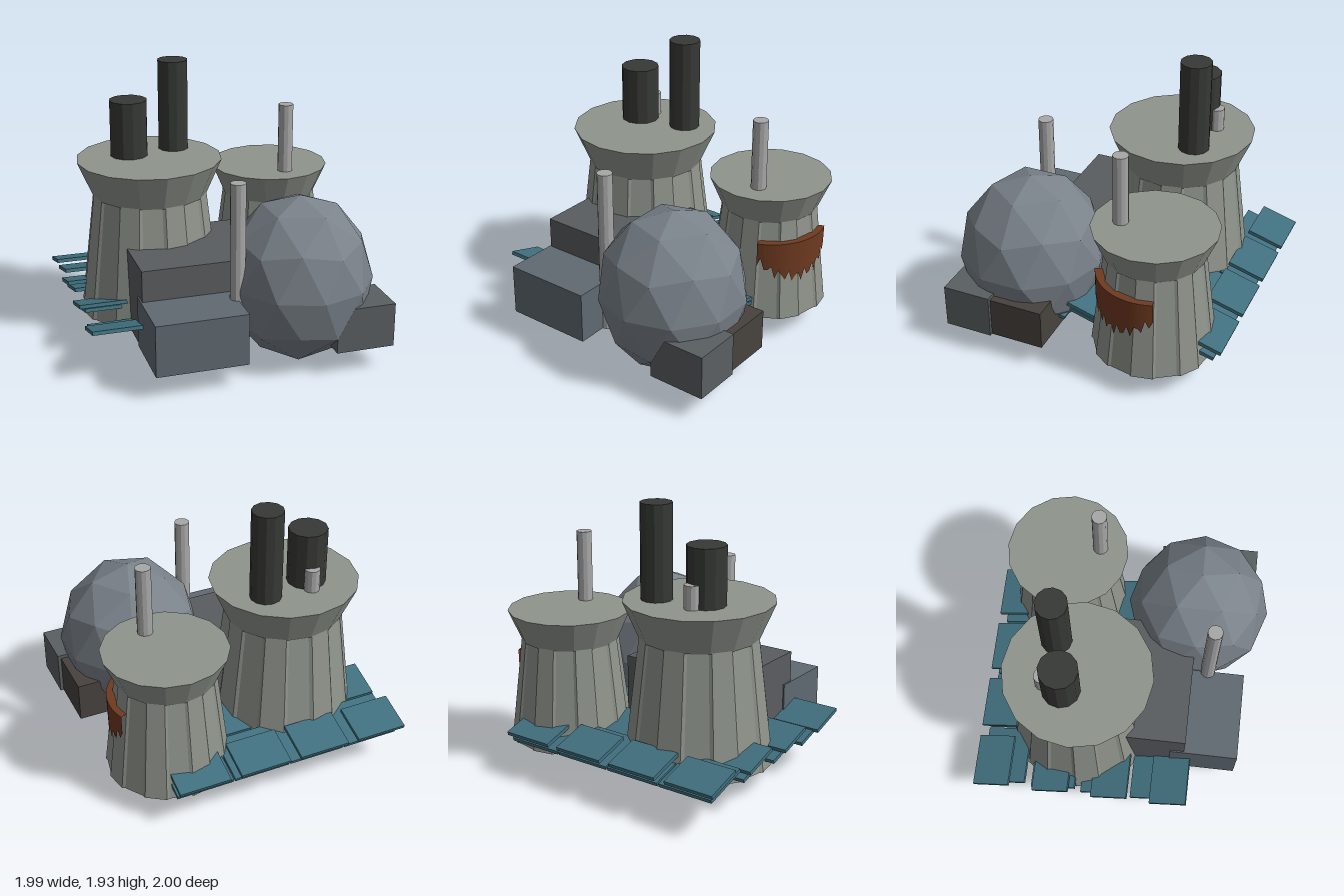
import * as THREE from 'three';

const material = (color, side = THREE.FrontSide) =>
  new THREE.MeshStandardMaterial({ color, side, flatShading: true });

const STONE = material(0x8f948c);
const SOOT = material(0x373936);
const STEEL = material(0xa8a8a8);
const SLATE = material(0x41707f);
const RUST = material(0x6f3a20, THREE.DoubleSide);
const HULL = material(0x7a828a);

const BASE = 0.18;

function add(parent, name, geometry, mat, x = 0, y = 0, z = 0) {
  const mesh = new THREE.Mesh(geometry, mat);
  mesh.name = name;
  mesh.position.set(x, y, z);
  parent.add(mesh);
  return mesh;
}

// Tapered wall made of 16 panels, every second one slightly recessed
function panelledWall(rTop, rBottom, height) {
  const g = new THREE.CylinderGeometry(rTop, rBottom, height, 32);
  const p = g.attributes.position;
  const step = Math.PI / 8;
  for (let i = 0; i < p.count; i++) {
    const r = Math.hypot(p.getX(i), p.getZ(i));
    if (r < 1e-4) continue;
    let a = Math.atan2(p.getX(i), p.getZ(i));
    if (a < -1e-4) a += Math.PI * 2;
    const n = Math.round(a / (step / 2)) % 32;
    const panel = Math.floor(n / 2);
    const angle = (panel + (n % 2 ? 0.94 : 0.06)) * step;
    const radius = r * (panel % 2 ? 0.97 : 1);
    p.setX(i, Math.sin(angle) * radius);
    p.setZ(i, Math.cos(angle) * radius);
  }
  return g;
}

// Tower: flared collar on a tapered, panelled body
function addTower(root, name, x, z, s) {
  const tower = new THREE.Group();
  tower.name = name;
  tower.position.set(x, BASE, z);
  add(tower, 'towerBody', panelledWall(0.405 * s, 0.512 * s, 0.87 * s), STONE, 0, 0.435 * s, 0);
  add(tower, 'towerCollar', new THREE.CylinderGeometry(0.512 * s, 0.405 * s, 0.25 * s, 16),
    STONE, 0, 0.985 * s, 0);
  root.add(tower);
}

// Upright pipe running from the base to the given height
function addPipe(root, name, x, z, r, top, mat) {
  const bottom = BASE - 0.002;
  add(root, name, new THREE.CylinderGeometry(r, r, top - bottom, 12), mat, x, (top + bottom) / 2, z);
}

function addBlock(root, name, [x0, x1], [y0, y1], [z0, z1], color) {
  add(root, name, new THREE.BoxGeometry(x1 - x0, y1 - y0, z1 - z0), material(color),
    (x0 + x1) / 2, (y0 + y1) / 2, (z0 + z1) / 2);
}

// Rows of tilted tiles, each dropping towards the back
function addTiles(root, name, { x0, z0, cols, rows, pitchX, pitchZ, width, length, y }) {
  const layer = new THREE.Group();
  layer.name = name;
  const tilt = 0.29;
  const geometry = new THREE.BoxGeometry(width, 0.026, length / Math.cos(tilt));
  for (let r = 0; r < rows; r++) {
    for (let c = 0; c < cols; c++) {
      const tile = add(layer, 'tile', geometry, SLATE,
        x0 + width / 2 + c * pitchX, y, z0 + length / 2 + r * pitchZ);
      tile.rotation.x = -tilt;
    }
  }
  root.add(layer);
}

// Rust patch: a curved sheet with a flat top and a ragged lower edge
function rustPatch() {
  const n = 24, from = -0.36, to = 1.19, position = [], index = [];
  for (let i = 0; i <= n; i++) {
    const t = i / n;
    const a = from + (to - from) * t;
    const depth = 0.07 + 0.2 * Math.pow(Math.sin(Math.PI * (0.08 + 0.84 * t)), 0.8)
      + 0.045 * Math.sin(i * 2.4);
    const rows = [[0.34, 0.76], [0.397, 0.76], [0.397 - depth * 0.02, 0.76 - depth]];
    for (const [r, y] of rows) position.push(Math.cos(a) * r, y, Math.sin(a) * r);
    if (i < n) {
      for (let j = 0; j < 2; j++) {
        const k = i * 3 + j;
        index.push(k, k + 3, k + 1, k + 1, k + 3, k + 4);
      }
    }
  }
  const g = new THREE.BufferGeometry();
  g.setAttribute('position', new THREE.Float32BufferAttribute(position, 3));
  g.setIndex(index);
  g.computeVertexNormals();
  return g;
}

export function createModel() {
  const root = new THREE.Group();
  root.name = 'factory';

  // Towers
  addTower(root, 'largeTower', -0.395, -0.28, 1);
  addTower(root, 'smallTower', 0.565, -0.475, 0.833);
  add(root, 'rustPatch', rustPatch(), RUST, 0.565, 0, -0.475);

  // Chimneys and pipes
  addPipe(root, 'wideChimney', -0.515, -0.375, 0.133, 1.69, SOOT);
  addPipe(root, 'tallChimney', -0.172, -0.45, 0.108, 1.935, SOOT);
  addPipe(root, 'shortPipe', -0.49, -0.5, 0.053, 1.45, STEEL);
  addPipe(root, 'smallTowerPipe', 0.612, -0.25, 0.053, 1.6, STEEL);
  addPipe(root, 'frontPipe', -0.027, 0.605, 0.053, 1.35, STEEL);

  // Faceted storage tank, stretched upwards, with a corner at each pole
  const tank = new THREE.IcosahedronGeometry(1, 1);
  tank.rotateZ(-Math.atan2(1, (1 + Math.sqrt(5)) / 2));
  tank.scale(0.51, 0.588, 0.51);
  add(root, 'sphericalTank', tank, HULL, 0.447, 0.592, 0.488);

  // Buildings
  addBlock(root, 'mainBuilding', [-0.65, 0.23], [BASE, 0.76], [-0.26, 0.49], 0x5a5d60);
  addBlock(root, 'frontBuilding', [-0.66, -0.03], [BASE - 0.002, 0.54], [0.39, 0.87], 0x606a72);
  addBlock(root, 'cornerBuilding', [0.58, 0.99], [BASE, 0.49], [0.56, 0.9], 0x5a5f61);
  addBlock(root, 'sideBuilding', [0.6, 0.967], [BASE, 0.465], [0.18, 0.57], 0x47423e);

  // Tiled ground roof in two staggered layers
  addTiles(root, 'upperTiles', {
    x0: -1, z0: -1, cols: 4, rows: 4, pitchX: 0.444, pitchZ: 0.427,
    width: 0.365, length: 0.26, y: 0.347,
  });
  addTiles(root, 'lowerTiles', {
    x0: -0.96, z0: -0.95, cols: 4, rows: 4, pitchX: 0.417, pitchZ: 0.363,
    width: 0.405, length: 0.32, y: 0.298,
  });

  return root;
}
